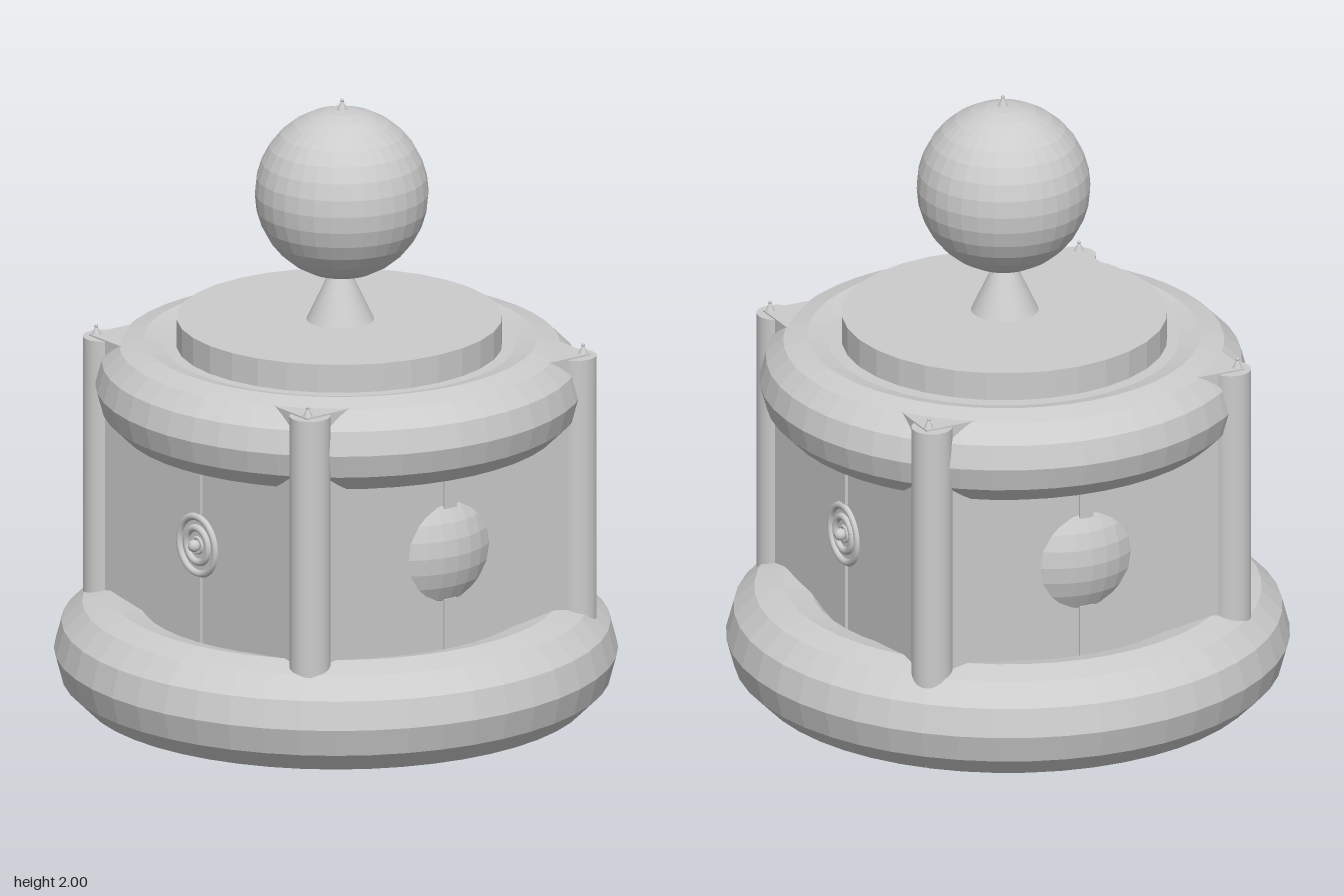
import * as THREE from 'three';

const flat = new THREE.MeshStandardMaterial({ color: 0xcccccc, flatShading: true });
const smooth = new THREE.MeshStandardMaterial({ color: 0xcccccc });

function add(parent, name, geometry, x, y, z, material = flat) {
  const mesh = new THREE.Mesh(geometry, material);
  mesh.name = name;
  mesh.position.set(x, y, z);
  parent.add(mesh);
  return mesh;
}

// Faceted ring lying flat
function flatRing(radius, tube) {
  return new THREE.TorusGeometry(radius, tube, 12, 48).rotateX(Math.PI / 2);
}

// Small pointed tip with a bead on top
function addFinial(parent, x, y, z) {
  const finial = new THREE.Group();
  finial.name = 'finial';
  finial.position.set(x, y, z);
  add(finial, 'finialCone', new THREE.ConeGeometry(0.019, 0.042, 24), 0, 0.018, 0);
  add(finial, 'finialBead', new THREE.SphereGeometry(0.006, 12, 8), 0, 0.033, 0, smooth);
  parent.add(finial);
}

// Concentric rings around a bead, facing +z
function createMedallion() {
  const medallion = new THREE.Group();
  medallion.name = 'medallion';
  for (const [radius, tube] of [[0.093, 0.012], [0.056, 0.012], [0.024, 0.006]]) {
    add(medallion, 'medallionRing', new THREE.TorusGeometry(radius, tube, 12, 48), 0, 0, 0, smooth);
  }
  add(medallion, 'medallionBead', new THREE.SphereGeometry(0.02, 16, 12), 0, 0, 0.014, smooth);
  return medallion;
}

export function createModel() {
  const model = new THREE.Group();
  model.name = 'domedBox';
  const cx = 0.015; // the body sits slightly off centre on its base

  // Base and body
  add(model, 'baseRing', flatRing(0.712, 0.179), 0, 0.18, 0);
  add(model, 'body', new THREE.BoxGeometry(1.13, 1.15, 1.13), cx, 0.605, 0);
  add(model, 'upperRing', flatRing(0.621, 0.151), cx, 1.047, 0);
  add(model, 'lid', new THREE.CylinderGeometry(0.515, 0.515, 0.14, 32), 0.011, 1.202, 0.003);

  // Corner columns
  for (const sx of [-1, 1]) {
    for (const sz of [-1, 1]) {
      add(model, 'column', new THREE.CylinderGeometry(0.065, 0.065, 0.94, 32),
        cx + sx * 0.53, 0.705, sz * 0.535, smooth);
      addFinial(model, cx + sx * 0.548, 1.175, sz * 0.548);
    }
  }

  // Four walls: bosses on front and back, medallions on the sides
  for (let i = 0; i < 4; i++) {
    const wall = new THREE.Group();
    wall.name = 'wallOrnament';
    wall.position.x = cx;
    wall.rotation.y = (i * Math.PI) / 2;
    const isSide = i % 2 === 1;
    // Vertical strip, interrupted by the ornament
    const gap = isSide ? 0.1 : 0.15;
    const low = 0.63 - gap, high = 0.63 + gap;
    add(wall, 'lowerStrip', new THREE.BoxGeometry(0.048, low - 0.2, 0.03), 0, (low + 0.2) / 2, 0.56);
    add(wall, 'upperStrip', new THREE.BoxGeometry(0.048, 1.1 - high, 0.03), 0, (1.1 + high) / 2, 0.56);
    if (isSide) {
      const medallion = createMedallion();
      medallion.position.set(0, 0.622, 0.566);
      wall.add(medallion);
    } else {
      add(wall, 'boss', new THREE.SphereGeometry(0.275, 32, 16), 0, 0.632, 0.342);
    }
    model.add(wall);
  }

  // Top ornament
  add(model, 'neck', new THREE.ConeGeometry(0.107, 0.228, 32), 0, 1.386, 0.022, smooth);
  add(model, 'topBall', new THREE.SphereGeometry(0.275, 32, 16), 0.002, 1.69, 0.027);
  addFinial(model, 0.004, 1.961, 0.027);

  return model;
}
